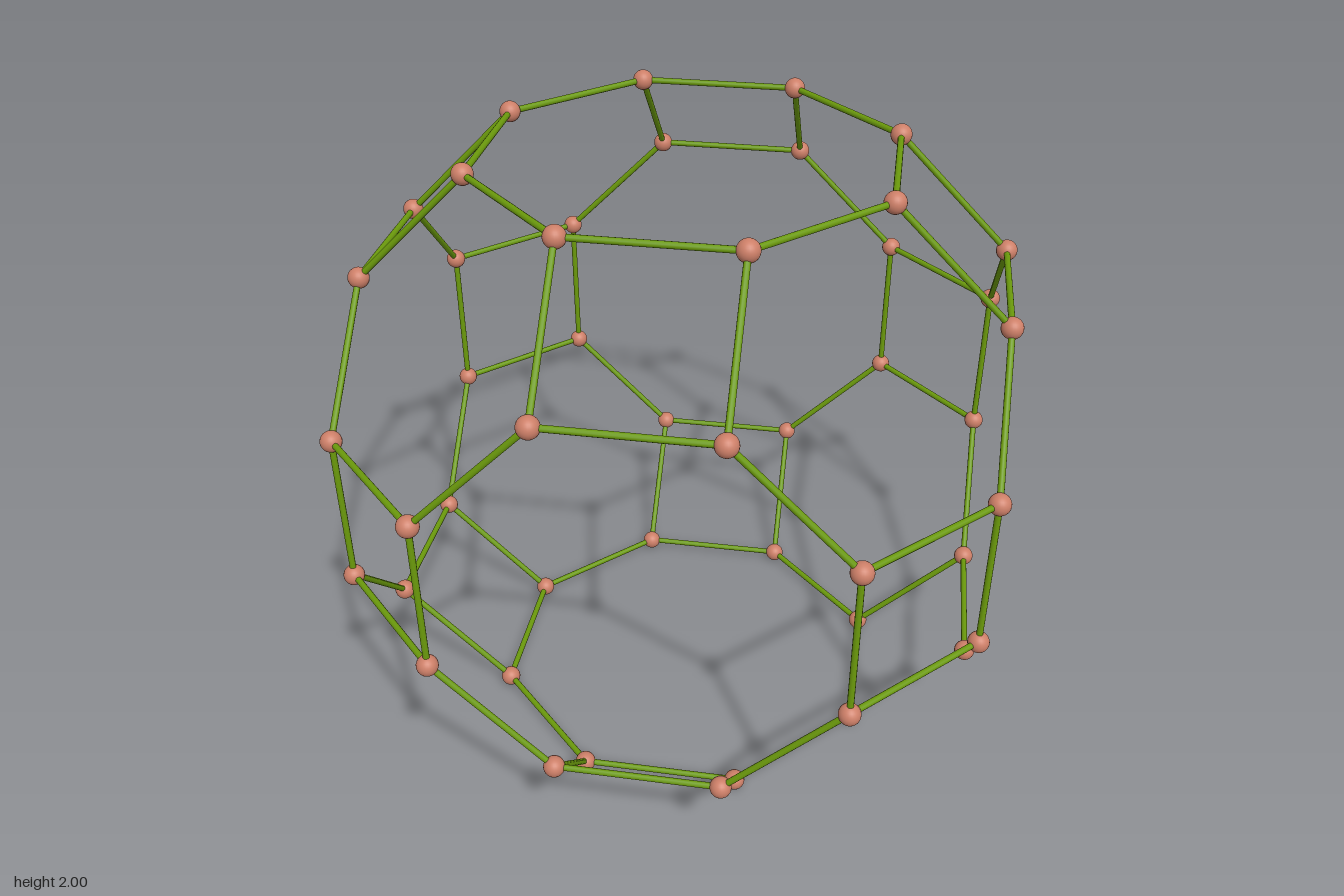
import * as THREE from 'three';

// Ball-and-stick frame of a truncated cuboctahedron
const BALL_RADIUS = 0.033;
const ROD_RADIUS = 0.01;
const R2 = Math.SQRT2;
const UNIT = (1 - BALL_RADIUS) / (1 + 2 * R2); // half an edge length

// Corners: every permutation and sign of (1, 1 + √2, 1 + 2√2)
function corners() {
  const [a, b, c] = [UNIT, UNIT * (1 + R2), UNIT * (1 + 2 * R2)];
  const orders = [[a, b, c], [a, c, b], [b, a, c], [b, c, a], [c, a, b], [c, b, a]];
  const points = [];
  for (const [x, y, z] of orders)
    for (const sx of [-1, 1])
      for (const sy of [-1, 1])
        for (const sz of [-1, 1])
          points.push(new THREE.Vector3(sx * x, sy * y + 1, sz * z));
  return points;
}

export function createModel() {
  const model = new THREE.Group();
  model.name = 'polyhedronFrame';
  const balls = new THREE.Group();
  balls.name = 'cornerBalls';
  const rods = new THREE.Group();
  rods.name = 'edgeRods';
  model.add(balls, rods);

  const ballMaterial = new THREE.MeshStandardMaterial({ color: 0xcd7f68 });
  const rodMaterial = new THREE.MeshStandardMaterial({ color: 0x6b9a0c });
  const ballGeometry = new THREE.SphereGeometry(BALL_RADIUS, 24, 16);
  const edge = 2 * UNIT;
  const rodGeometry = new THREE.CylinderGeometry(ROD_RADIUS, ROD_RADIUS, edge, 12);
  const up = new THREE.Vector3(0, 1, 0);
  const points = corners();

  points.forEach((p, i) => {
    // Ball at each corner
    const ball = new THREE.Mesh(ballGeometry, ballMaterial);
    ball.name = 'cornerBall';
    ball.position.copy(p);
    balls.add(ball);

    // Rod to each later corner one edge length away
    for (const q of points.slice(i + 1)) {
      if (Math.abs(p.distanceTo(q) - edge) > 1e-4) continue;
      const rod = new THREE.Mesh(rodGeometry, rodMaterial);
      rod.name = 'edgeRod';
      rod.position.addVectors(p, q).multiplyScalar(0.5);
      rod.quaternion.setFromUnitVectors(up, q.clone().sub(p).normalize());
      rods.add(rod);
    }
  });
  return model;
}
